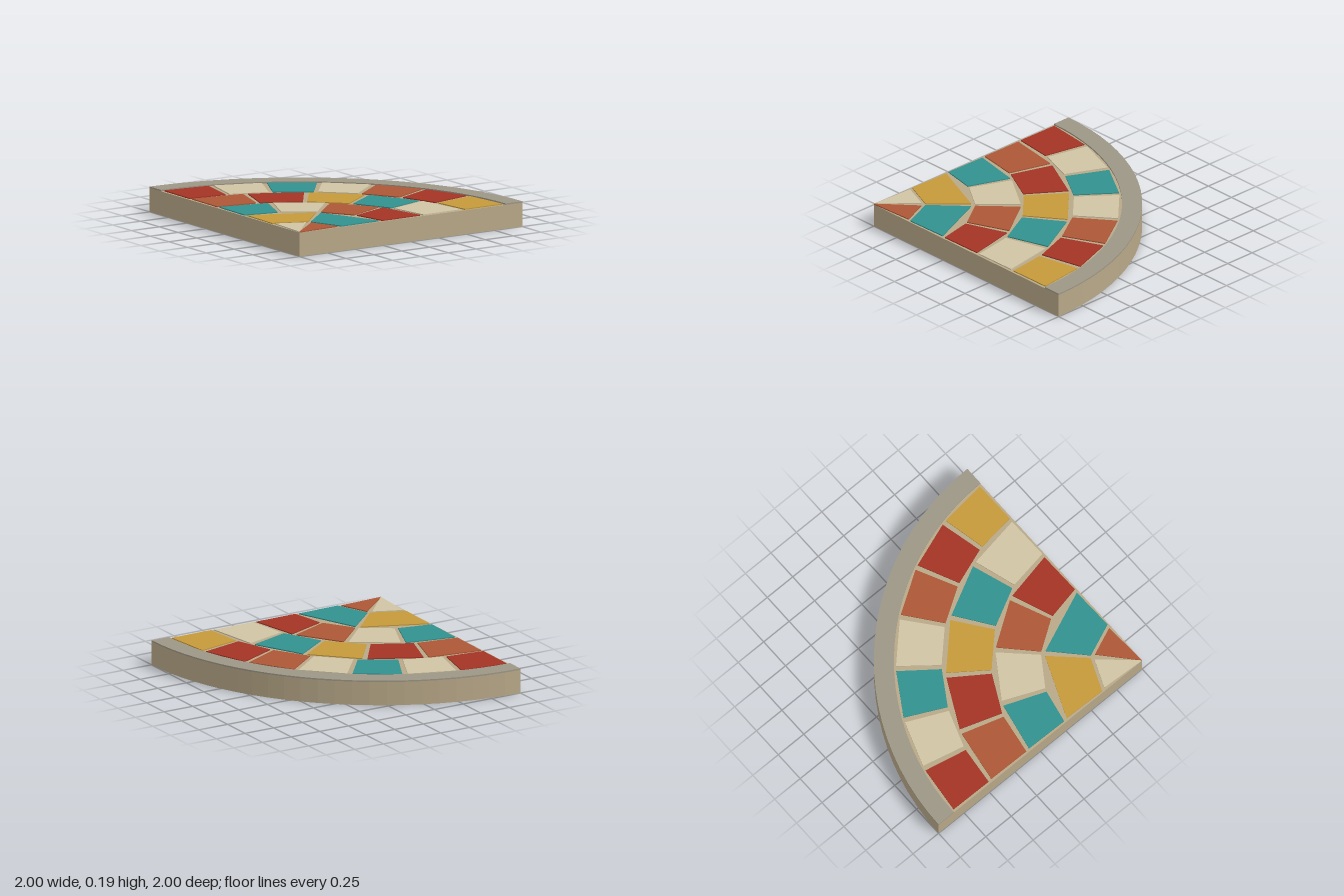
import * as THREE from 'three';

const RADIUS = 2, RIM_INNER = 1.85, BASE_TOP = 0.182, TILE_TOP = 0.19, RIM_TOP = 0.193;
const RING_WIDTH = RIM_INNER / 5, GAP = 0.015;

const COLORS = {
  red: 0xa33425, clay: 0xad5737, cream: 0xd0c4a4, teal: 0x32928f, gold: 0xc5993a,
  stone: 0xb8a888, rim: 0x9d9686,
};

// Tile colours of each ring, from the corner outwards, running from the left edge to the front edge
const RINGS = [
  ['cream', 'clay'],
  ['gold', 'teal'],
  ['teal', 'cream', 'clay', 'red'],
  ['clay', 'red', 'gold', 'teal', 'cream'],
  ['red', 'cream', 'teal', 'cream', 'clay', 'red', 'gold'],
];

const materials = {};
for (const [name, color] of Object.entries(COLORS)) {
  materials[name] = new THREE.MeshStandardMaterial({ color });
}

// Flat slab of a plan shape between two heights
function slab(name, shape, bottom, top, material) {
  const geometry = new THREE.ExtrudeGeometry(shape, {
    depth: top - bottom, bevelEnabled: false, curveSegments: 12,
  });
  geometry.rotateX(-Math.PI / 2);
  geometry.translate(0, bottom, 0);
  const mesh = new THREE.Mesh(geometry, material);
  mesh.name = name;
  return mesh;
}

// Straight-sided tile between two radii and two angles
function tileShape(r0, r1, a0, a1) {
  const at = (r, a) => new THREE.Vector2(r * Math.cos(a), r * Math.sin(a));
  const points = [at(r1, a0), at(r1, a1)];
  if (r0 > 0) points.push(at(r0, a1), at(r0, a0));
  else points.push(new THREE.Vector2(0, 0));
  return new THREE.Shape(points);
}

export function createModel() {
  const model = new THREE.Group();
  model.name = 'quarterRoundMosaic';

  // Everything is laid out around the corner of the quarter circle
  const slabGroup = new THREE.Group();
  slabGroup.name = 'mosaicSlab';
  slabGroup.position.set(-1, 0, 1);
  model.add(slabGroup);

  // Quarter-circle base
  const base = new THREE.Shape();
  base.moveTo(0, 0);
  base.lineTo(RADIUS, 0);
  base.absarc(0, 0, RADIUS, 0, Math.PI / 2, false);
  base.closePath();
  slabGroup.add(slab('base', base, 0, BASE_TOP, materials.stone));

  // Raised border along the curve
  const rim = new THREE.Shape();
  rim.moveTo(RADIUS, 0);
  rim.absarc(0, 0, RADIUS, 0, Math.PI / 2, false);
  rim.lineTo(0, RIM_INNER);
  rim.absarc(0, 0, RIM_INNER, Math.PI / 2, 0, true);
  rim.closePath();
  slabGroup.add(slab('rim', rim, BASE_TOP, RIM_TOP, materials.rim));

  // Rings of tiles with grout gaps
  const tiles = new THREE.Group();
  tiles.name = 'tiles';
  slabGroup.add(tiles);
  RINGS.forEach((colors, ring) => {
    const r0 = ring ? ring * RING_WIDTH + GAP : 0;
    const r1 = (ring + 1) * RING_WIDTH - GAP;
    const step = Math.PI / 2 / colors.length;
    const inset = 0.02 / r1;
    colors.forEach((color, i) => {
      const end = Math.PI / 2 - i * step;
      const shape = tileShape(r0, r1, end - step + inset, end - inset);
      tiles.add(slab(`tileRing${ring + 1}No${i + 1}`, shape, BASE_TOP, TILE_TOP, materials[color]));
    });
  });

  return model;
}
